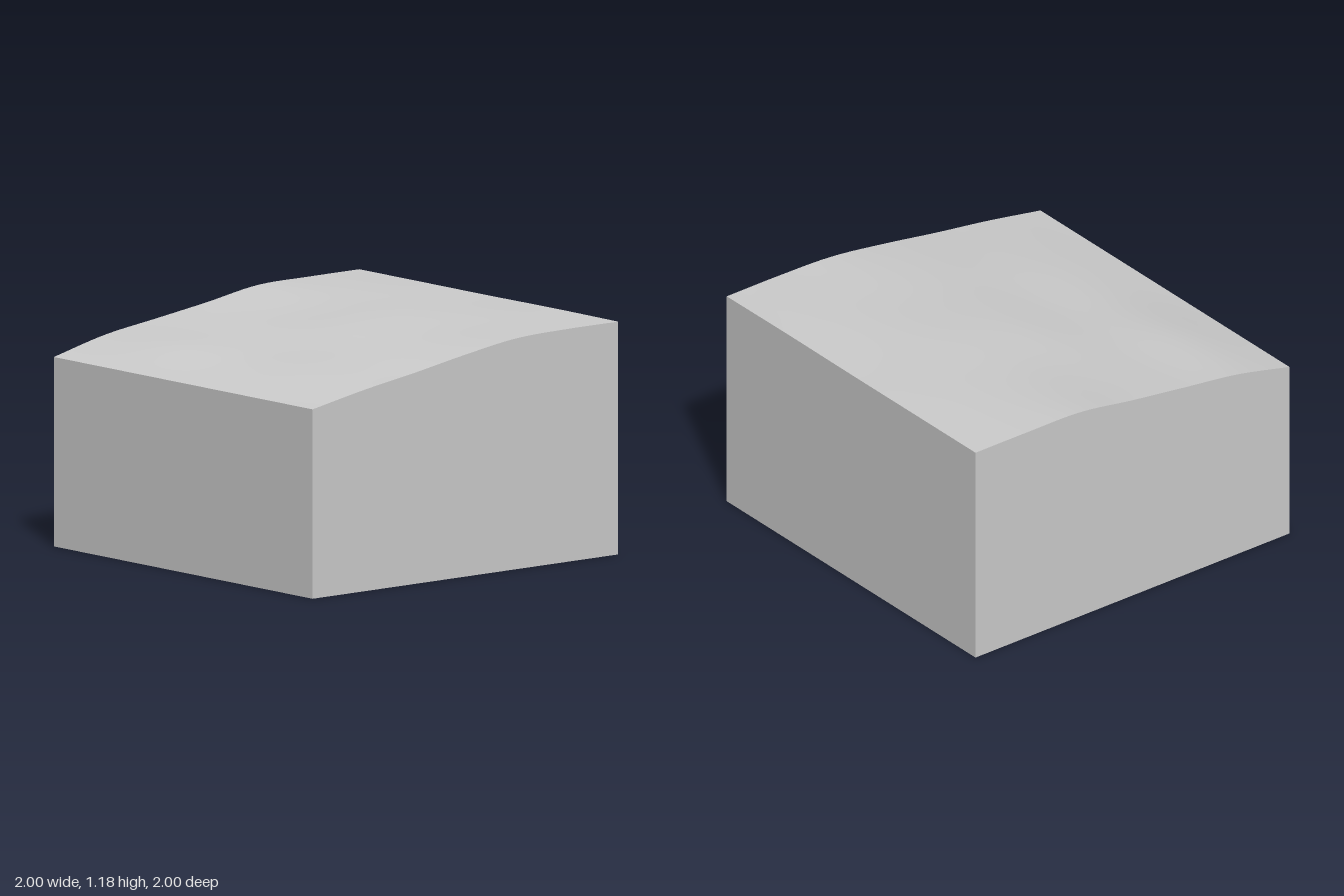
import * as THREE from 'three';

// Height control rows from back (z = -1) to front (z = 1), each from x = -1 to x = 1
const ROWS = [
  [0.96, 1.035, 1.08, 1.125, 1.175, 1.18, 1.18],
  [0.96, 1.045, 1.075, 1.118, 1.16, 1.18, 1.18],
  [0.96, 1.028, 1.068, 1.13, 1.165, 1.177, 1.18],
  [0.96, 1.025, 1.075, 1.125, 1.158, 1.18, 1.182],
  [0.96, 1.02, 1.07, 1.125, 1.17, 1.18, 1.18],
];

// Smooth Catmull-Rom interpolation through evenly spaced values, t in 0..1
function spline(values, t) {
  const last = values.length - 1;
  const i = Math.min(Math.floor(t * last), last - 1);
  const f = t * last - i;
  const b = values[i], c = values[i + 1];
  const a = i > 0 ? values[i - 1] : 2 * b - c;
  const d = i + 2 <= last ? values[i + 2] : 2 * c - b;
  return b + 0.5 * f * (c - a + f * (2 * a - 5 * b + 4 * c - d + f * (3 * (b - c) + d - a)));
}

const heightAt = (x, z) =>
  spline(ROWS.map((row) => spline(row, (x + 1) / 2)), (z + 1) / 2);

export function createModel() {
  const group = new THREE.Group();
  group.name = 'terrainBlock';

  const grey = new THREE.MeshStandardMaterial({ color: 0xcccccc });
  grey.name = 'light grey';

  // Solid block: flat base and walls, gently rolling sloped top
  const geometry = new THREE.BoxGeometry(2, 1, 2, 40, 1, 40);
  const pos = geometry.attributes.position;
  for (let i = 0; i < pos.count; i++) {
    const top = pos.getY(i) > 0;
    const x = THREE.MathUtils.clamp(pos.getX(i), -1, 1);
    const z = THREE.MathUtils.clamp(pos.getZ(i), -1, 1);
    pos.setY(i, top ? heightAt(x, z) : 0);
  }
  geometry.computeVertexNormals();

  const block = new THREE.Mesh(geometry, grey);
  block.name = 'groundBlock';
  group.add(block);
  return group;
}
